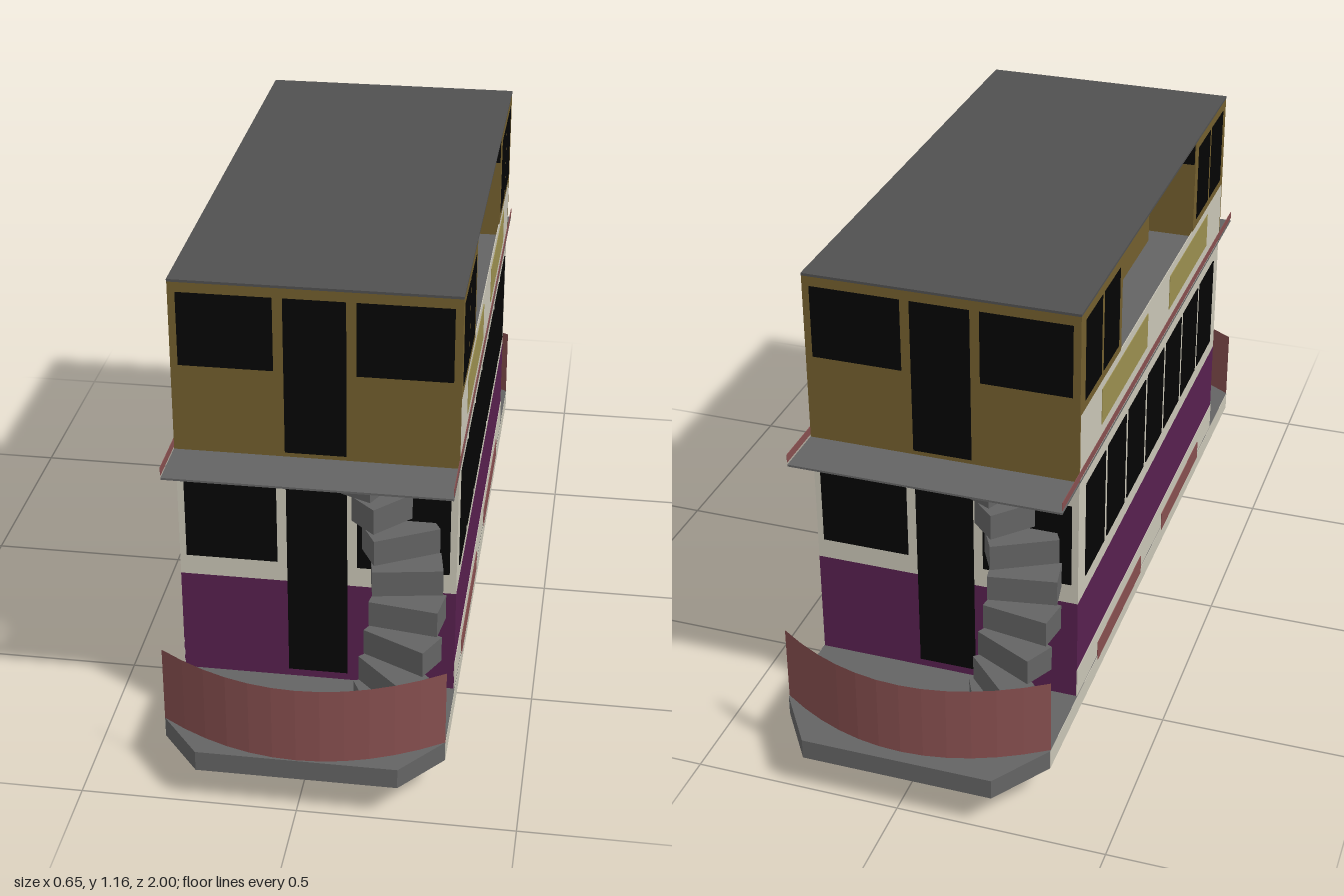
import * as THREE from 'three';

const mat = (color) => new THREE.MeshStandardMaterial({ color, flatShading: true, side: THREE.DoubleSide });

export function createModel() {
  const cream = mat(0xcac6b7), purple = mat(0x58204f), gold = mat(0x735f2e), red = mat(0x874f4f);
  const yellow = mat(0x9c9050), black = mat(0x040404), grey = mat(0x646464), dark = mat(0x505050);
  const model = new THREE.Group();
  const MID = 0.015; // middle of the body along z
  const FRONT = 0.665; // half length of the body
  const z0 = MID - FRONT, z1 = MID + FRONT;

  function add(parent, name, geometry, material) {
    const mesh = new THREE.Mesh(geometry, material);
    mesh.name = name;
    parent.add(mesh);
    return mesh;
  }
  // box given by its limits
  function box(parent, name, material, xa, xb, ya, yb, za, zb) {
    const mesh = add(parent, name, new THREE.BoxGeometry(xb - xa, yb - ya, zb - za), material);
    mesh.position.set((xa + xb) / 2, (ya + yb) / 2, (za + zb) / 2);
  }

  // platform with cut corners
  const outline = new THREE.Shape([
    [-0.325, -0.885], [-0.23, -1], [0.23, -1], [0.325, -0.885],
    [0.325, 0.86], [0.23, 1], [-0.23, 1], [-0.325, 0.86],
  ].map(([x, y]) => new THREE.Vector2(x, y)));
  const deck = new THREE.ExtrudeGeometry(outline, { depth: 0.05, bevelEnabled: false });
  deck.rotateX(-Math.PI / 2);
  add(model, 'platform', deck, grey).position.y = 0.09;

  // lower saloon, purple below and cream above
  box(model, 'waistPanel', purple, -0.323, 0.323, 0.14, 0.405, z0 + 0.003, z1 - 0.003);
  box(model, 'saloon', cream, -0.323, 0.323, 0.405, 0.734, z0 + 0.003, z1 - 0.003);

  // upper floor running out over both ends, and the roof
  box(model, 'upperFloor', grey, -0.325, 0.325, 0.734, 0.739, -0.782, 0.815);
  box(model, 'roof', dark, -0.325, 0.325, 1.154, 1.16, z0 - 0.002, z1 + 0.002);

  // back-to-back bench along the open upper deck
  box(model, 'benchSeat', gold, -0.14, 0.14, 0.739, 0.86, MID - 0.6, MID + 0.6);
  box(model, 'benchBack', gold, -0.03, 0.03, 0.86, 0.96, MID - 0.6, MID + 0.6);

  // both long sides
  for (const s of [1, -1]) {
    const side = new THREE.Group();
    side.name = s > 0 ? 'leftSide' : 'rightSide';
    model.add(side);
    const panel = (name, material, ya, yb, za, zb, out = 0.3255, inside = 0.322) =>
      box(side, name, material, Math.min(s * inside, s * out), Math.max(s * inside, s * out), ya, yb, za, zb);
    panel('platformEdge', cream, 0.091, 0.139, -0.86, 0.885, 0.3258, 0.3245);
    panel('sill', cream, 0.139, 0.215, z0 + 0.003, z1 - 0.003, 0.3245);
    panel('upperSide', cream, 0.739, 0.908, z0 + 0.003, z1 - 0.003, 0.324);
    panel('floorEdge', red, 0.745, 0.765, -0.782, 0.815, 0.3258, 0.3245);
    for (let i = 0; i < 7; i++) {
      const z = 0.545 - i * 0.1767;
      panel('saloonWindow', black, 0.45, 0.7, z - 0.077, z + 0.077);
    }
    for (const c of [0.322, -0.282]) {
      panel('upperSign', yellow, 0.793, 0.885, c - 0.197, c + 0.197);
      panel('lowerSign', red, 0.127, 0.178, c - 0.197, c + 0.197, 0.3265);
    }
    panel('cabinSide', gold, 0.908, 1.154, 0.355, z1, 0.3245);
    panel('cabinSide', gold, 0.908, 1.154, z0, -0.325, 0.3245);
    for (const c of [0.588, 0.448, -0.41, -0.552])
      panel('upperWindow', black, 0.93, 1.13, c - 0.062, c + 0.062);
  }

  // one end: upper wall, windows, doors, dash and winding stair
  function makeEnd(name) {
    const end = new THREE.Group();
    end.name = name;
    const f = FRONT;
    box(end, 'upperEndWall', gold, -0.3245, 0.3245, 0.736, 1.155, f - 0.003, f + 0.001);
    box(end, 'upperDoor', black, -0.07, 0.07, 0.75, 1.13, f - 0.004, f + 0.003);
    box(end, 'lowerDoor', black, -0.07, 0.07, 0.16, 0.667, f - 0.01, f);
    for (const s of [1, -1]) {
      const a = Math.min(s * 0.093, s * 0.307), b = Math.max(s * 0.093, s * 0.307);
      box(end, 'upperEndWindow', black, a, b, 0.953, 1.13, f - 0.004, f + 0.003);
      box(end, 'lowerEndWindow', black, a, b, 0.457, 0.67, f - 0.01, f);
    }

    // bowed dash, a single thin sheet
    const dash = new THREE.PlaneGeometry(0.65, 0.19, 12, 1);
    const p = dash.attributes.position;
    for (let i = 0; i < p.count; i++) {
      const t = p.getX(i) / 0.325;
      p.setZ(i, 0.87 + 0.112 * (1 - t * t));
    }
    add(end, 'dash', dash, red).position.y = 0.235;

    // stair treads turning as they climb
    const stair = new THREE.Group();
    stair.name = 'stair';
    for (let i = 0; i < 8; i++) {
      const tread = new THREE.BoxGeometry(0.16, 0.063, 0.078);
      tread.translate(0.12, 0, 0);
      const mesh = add(stair, 'tread', tread, grey);
      mesh.position.set(0.08 + i * 0.006, 0.703 - i * 0.0705, 0.75);
      mesh.rotation.y = THREE.MathUtils.degToRad(65 - i * 18.4);
    }
    end.add(stair);
    end.position.z = MID;
    return end;
  }
  const back = makeEnd('backEnd');
  back.rotation.y = Math.PI;
  model.add(makeEnd('frontEnd'), back);

  // wheels and the truck frame between them
  const wheel = new THREE.CylinderGeometry(0.1, 0.1, 0.045, 24);
  wheel.rotateZ(Math.PI / 2);
  for (const z of [0.255, -0.193])
    for (const x of [0.242, -0.242])
      add(model, 'wheel', wheel, grey).position.set(x, 0.1, z);
  box(model, 'truckFrame', grey, -0.225, 0.225, 0.068, 0.095, -0.193, 0.255);

  return model;
}
